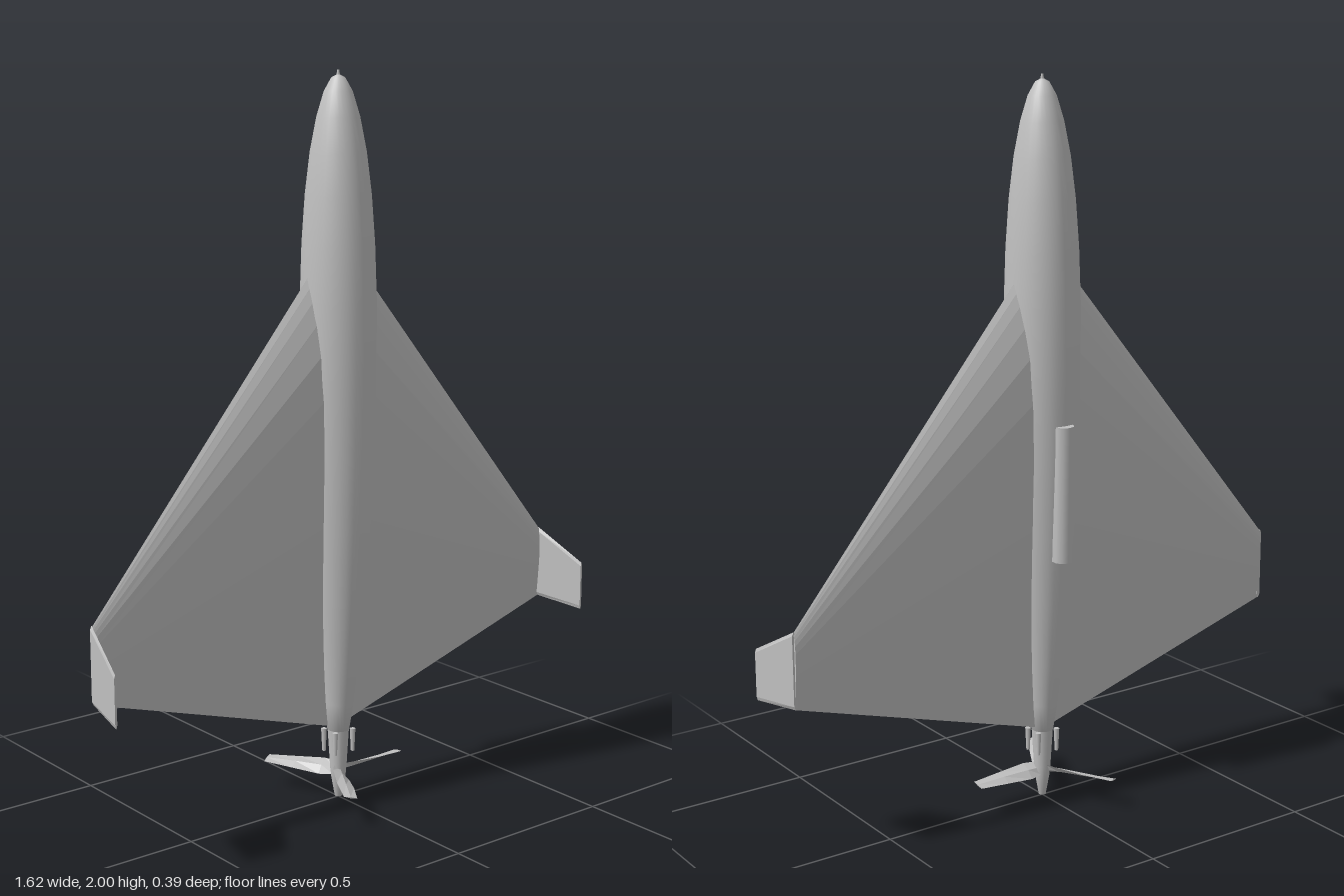
import * as THREE from 'three';

const grey = new THREE.MeshStandardMaterial({ color: 0xc0c0c0 });
grey.name = 'bare grey';
grey.side = THREE.DoubleSide;

function part(name, geometry, parent) {
  const mesh = new THREE.Mesh(geometry, grey);
  mesh.name = name;
  parent.add(mesh);
  return mesh;
}

// Joins equal-sized rings of points into a closed, flat-faceted solid.
function loft(rings) {
  const pos = [];
  const n = rings[0].length;
  const tri = (a, b, c) => pos.push(...a, ...b, ...c);
  for (let r = 0; r + 1 < rings.length; r++) {
    for (let i = 0; i < n; i++) {
      const j = (i + 1) % n;
      const [a, b, c, d] = [rings[r][i], rings[r][j], rings[r + 1][j], rings[r + 1][i]];
      tri(a, b, c);
      tri(a, c, d);
    }
  }
  const first = rings[0], last = rings[rings.length - 1];
  for (let i = 1; i + 1 < n; i++) {
    tri(first[0], first[i + 1], first[i]);
    tri(last[0], last[i], last[i + 1]);
  }
  const g = new THREE.BufferGeometry();
  g.setAttribute('position', new THREE.Float32BufferAttribute(pos, 3));
  g.computeVertexNormals();
  return g;
}

// Mirrors a ring across x = 0, reversing it so the faces still point outwards.
const mirrored = (ring, side) =>
  side > 0 ? ring : ring.map(([x, y, z]) => [-x, y, z]).reverse();

// Aerofoil ring: chord fraction from the leading edge, relative half thickness.
const foil = [[0.02, 0.2], [0.05, 0.42], [0.1, 0.68], [0.17, 0.9], [0.27, 1], [0.4, 0.97], [0.55, 0.78], [0.75, 0.45]];
function wingRing(x, lead, trail, half, z) {
  const at = ([c, t], s) => [x, lead + (trail - lead) * c, z + s * half * t];
  return [
    at([0, 0], 0),
    ...foil.map((p) => at(p, -1)),
    at([1, 0], 0),
    ...[...foil].reverse().map((p) => at(p, 1)),
  ];
}

export function createModel() {
  const model = new THREE.Group();
  model.name = 'deltaWingAircraft';

  // Long fuselage, slightly deeper than wide
  const profile = [
    [0, 0.19], [0.03, 0.2], [0.042, 0.28], [0.056, 0.4], [0.073, 0.58], [0.086, 0.78], [0.095, 0.98],
    [0.1, 1.2], [0.1, 1.4], [0.095, 1.55], [0.086, 1.68], [0.073, 1.79], [0.056, 1.88],
    [0.037, 1.945], [0.018, 1.98], [0, 1.99],
  ].map(([r, y]) => new THREE.Vector2(r, y));
  part('fuselage', new THREE.LatheGeometry(profile, 28), model).scale.z = 1.06;
  part('noseProbe', new THREE.CylinderGeometry(0.003, 0.006, 0.025, 8), model).position.y = 1.9875;

  for (const side of [1, -1]) {
    const label = side > 0 ? 'left' : 'right';

    // Delta wing
    const root = wingRing(0, 1.58, 0.203, 0.063, -0.008);
    const tip = wingRing(0.778, 0.645, 0.438, 0.008, -0.014);
    part(label + 'Wing', loft([mirrored(root, side), mirrored(tip, side)]), model);

    // Canted winglet reaching forwards from the wing tip
    const fin = (x, z, top, bottom, h) => [
      [x - h, top - 0.01, z], [x, top, z], [x + h, top - 0.01, z],
      [x + h, bottom + 0.01, z], [x, bottom, z], [x - h, bottom + 0.01, z],
    ];
    part(label + 'Winglet', loft([
      mirrored(fin(0.778, -0.016, 0.648, 0.438, 0.005), side),
      mirrored(fin(0.808, 0.136, 0.565, 0.424, 0.003), side),
    ]), model);

    // Exhaust stubs around the tail
    for (const s of [1, -1]) {
      const stub = part(label + 'ExhaustStub', new THREE.CylinderGeometry(0.008, 0.005, 0.065, 8), model);
      stub.position.set(side * 0.031, 0.168, s * 0.025);
    }
  }

  // Faceted duct along the back
  const duct = part('backDuct', new THREE.CylinderGeometry(0.028, 0.028, 0.375, 10), model);
  duct.position.set(0, 0.9, -0.095);
  duct.rotation.x = -0.015;

  // Tail cone and three-bladed pusher propeller
  const cone = [[0, 0], [0.01, 0.003], [0.02, 0.06], [0.023, 0.09], [0.026, 0.14], [0.03, 0.205]]
    .map(([r, y]) => new THREE.Vector2(r, y));
  part('spinner', new THREE.LatheGeometry(cone, 20), model);

  const propeller = new THREE.Group();
  propeller.name = 'propeller';
  propeller.position.y = 0.083;
  model.add(propeller);
  // Blade sections: radius, chord, pitch, half thickness
  const sections = [[0.012, 0.04, 0.9, 0.005], [0.05, 0.055, 0.62, 0.005], [0.13, 0.05, 0.36, 0.004], [0.217, 0.038, 0.2, 0.002]];
  const bladeGeometry = loft(sections.map(([x, chord, pitch, h]) => {
    const c = Math.cos(pitch), s = Math.sin(pitch);
    return [[chord / 2, 0], [0, -h], [-chord / 2, 0], [0, h]]
      .map(([u, v]) => [x, u * s + v * c, u * c - v * s]);
  }));
  for (let i = 0; i < 3; i++) {
    part('propellerBlade', bladeGeometry, propeller).rotation.y = (i * Math.PI * 2) / 3;
  }
  return model;
}
